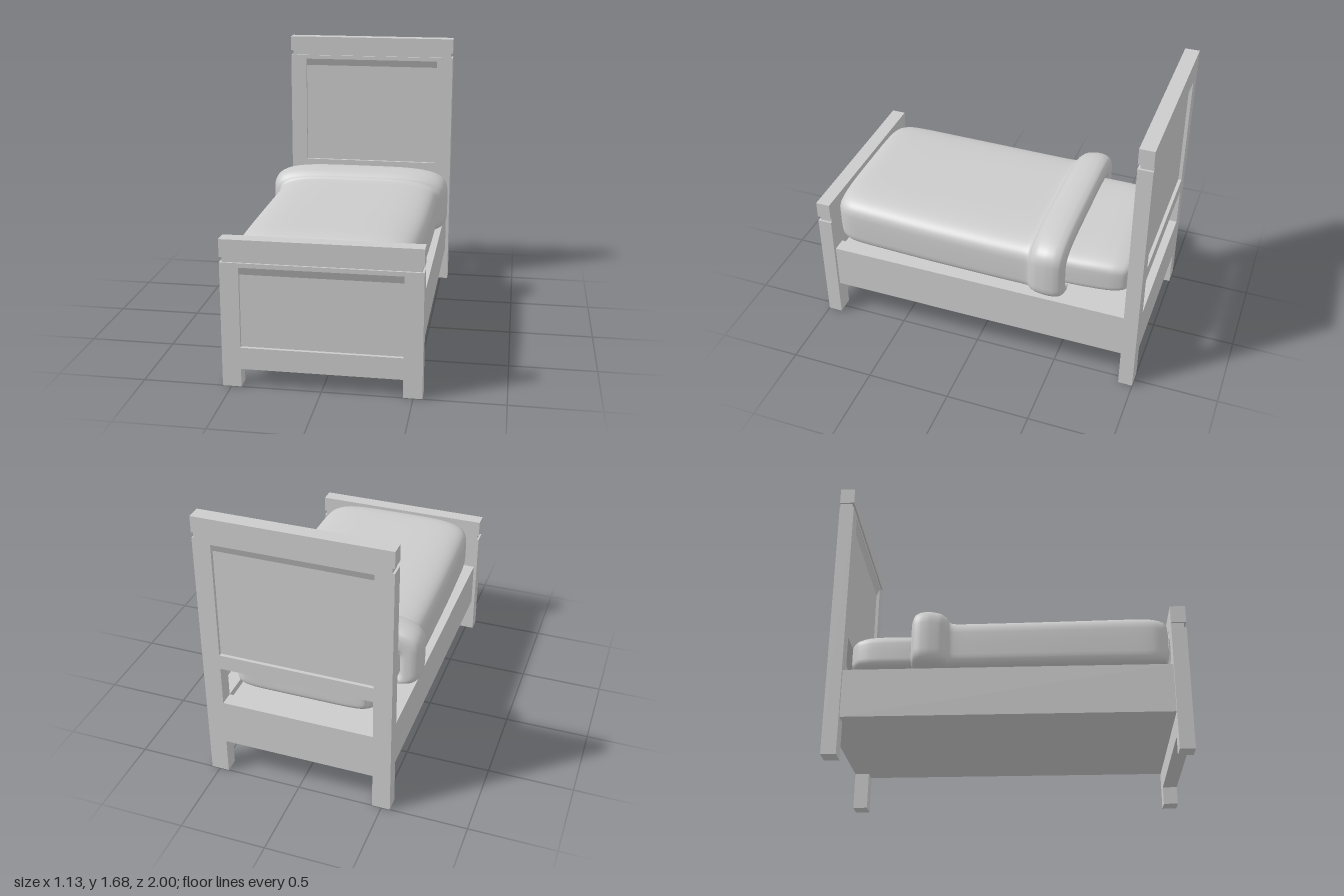
import * as THREE from 'three';

const material = new THREE.MeshStandardMaterial({ color: 0xcccccc });

function add(parent, name, geometry, x = 0, y = 0, z = 0) {
  const mesh = new THREE.Mesh(geometry, material);
  mesh.name = name;
  mesh.position.set(x, y, z);
  parent.add(mesh);
  return mesh;
}

const box = (w, h, d) => new THREE.BoxGeometry(w, h, d);

function rectPath(x0, y0, x1, y1) {
  return new THREE.Path([
    new THREE.Vector2(x0, y0), new THREE.Vector2(x0, y1),
    new THREE.Vector2(x1, y1), new THREE.Vector2(x1, y0),
  ]);
}

const HALF = 0.55, INNER = 0.445, DEPTH = 0.085;

// Upright board: legged frame, recessed panel, grooved neck and cap
function board(name, o) {
  const group = new THREE.Group();
  group.name = name;
  const outline = [
    [-HALF, 0], [-INNER, 0], [-INNER, o.railBottom], [INNER, o.railBottom],
    [INNER, 0], [HALF, 0], [HALF, o.frameTop], [-HALF, o.frameTop],
  ];
  const shape = new THREE.Shape(outline.map(([x, y]) => new THREE.Vector2(x, y)));
  const [p0, p1] = o.panel;
  shape.holes.push(rectPath(-INNER, p0, INNER, p1));
  if (o.gap) shape.holes.push(rectPath(-INNER, o.gap[0], INNER, o.gap[1]));
  const frame = new THREE.ExtrudeGeometry(shape, { depth: DEPTH, bevelEnabled: false });
  add(group, 'frame', frame.translate(0, 0, -DEPTH / 2));

  // Panel flares towards its top on both faces
  const thin = 0.0225, thick = 0.0405;
  const profile = new THREE.Shape([
    [-thin, p0], [thin, p0], [thin, p1 - 0.045], [thick, p1],
    [-thick, p1], [-thin, p1 - 0.045],
  ].map(([x, y]) => new THREE.Vector2(x, y)));
  const panel = new THREE.ExtrudeGeometry(profile, { depth: 2 * INNER, bevelEnabled: false });
  add(group, 'panel', panel.translate(0, 0, -INNER).rotateY(Math.PI / 2));

  // Groove on the front and sides, back flush
  const neckHeight = o.capBottom - o.frameTop;
  add(group, 'neck', box(2 * HALF - 0.024, neckHeight, DEPTH - 0.012),
    0, o.frameTop + neckHeight / 2, -0.006);
  const capHeight = o.top - o.capBottom;
  add(group, 'cap', box(2 * HALF, capHeight, DEPTH), 0, o.capBottom + capHeight / 2, 0);
  group.position.z = o.z;
  return group;
}

// Soft body lofted along z from rows of [z, half width, bottom, top];
// underside: optional [half width, height] of a hollow below
function softLoft(rows, steps, underside) {
  const widths = new THREE.CatmullRomCurve3(
    rows.map(r => new THREE.Vector3(r[0], r[1], 0)), false, 'catmullrom', 0.4);
  const heights = new THREE.CatmullRomCurve3(
    rows.map(r => new THREE.Vector3(r[0], r[2], r[3])), false, 'catmullrom', 0.4);
  const sides = 72, positions = [], index = [];
  for (let i = 0; i <= steps; i++) {
    const a = widths.getPoint(i / steps), b = heights.getPoint(i / steps);
    const mid = (b.y + b.z) / 2, halfHeight = (b.z - b.y) / 2;
    for (let j = 0; j < sides; j++) {
      const t = (j / sides) * Math.PI * 2;
      const c = Math.cos(t), s = Math.sin(t);
      const power = 2 / (s >= 0 ? 4.2 : 7);
      const x = a.y * Math.sign(c) * Math.abs(c) ** power;
      let y = mid + halfHeight * Math.sign(s) * Math.abs(s) ** power;
      if (underside && Math.abs(x) < underside[0]) y = Math.max(y, underside[1]);
      positions.push(x, y, a.x);
      if (i < steps) {
        const k = i * sides + j, n = i * sides + (j + 1) % sides;
        index.push(k, k + sides, n, n, k + sides, n + sides);
      }
    }
  }
  const geometry = new THREE.BufferGeometry();
  geometry.setAttribute('position', new THREE.Float32BufferAttribute(positions, 3));
  geometry.setIndex(index);
  geometry.computeVertexNormals();
  return geometry;
}

export function createModel() {
  const bed = new THREE.Group();
  bed.name = 'bed';

  bed.add(board('headboard', {
    z: -0.9575, railBottom: 0.22, gap: [0.5, 0.74], panel: [0.83, 1.53],
    frameTop: 1.555, capBottom: 1.585, top: 1.68,
  }));
  bed.add(board('footboard', {
    z: 0.9575, railBottom: 0.105, panel: [0.23, 0.69],
    frameTop: 0.715, capBottom: 0.745, top: 0.845,
  }));

  // Side rails and the base between them
  for (const side of [1, -1]) {
    add(bed, side > 0 ? 'leftRail' : 'rightRail', box(0.085, 0.28, 1.83), side * 0.4875, 0.36, 0);
  }
  add(bed, 'base', box(0.89, 0.24, 1.83), 0, 0.34, 0);

  // Mattress, showing at the head end
  add(bed, 'mattress', softLoft([
    [0.8, 0, 0.66, 0.66], [0.8, 0.38, 0.59, 0.74], [0.76, 0.43, 0.55, 0.77],
    [0.2, 0.445, 0.55, 0.78], [-0.5, 0.445, 0.55, 0.78], [-0.7, 0.438, 0.553, 0.785],
    [-0.8, 0.428, 0.558, 0.783], [-0.86, 0.408, 0.565, 0.773], [-0.89, 0.375, 0.575, 0.76],
    [-0.905, 0.32, 0.6, 0.735], [-0.905, 0, 0.67, 0.67],
  ], 80));

  // Duvet with its thick folded-over edge draped across the mattress
  add(bed, 'duvet', softLoft([
    [0.91, 0, 0.7, 0.7], [0.912, 0.4, 0.62, 0.8], [0.905, 0.435, 0.57, 0.825],
    [0.88, 0.465, 0.535, 0.843], [0.82, 0.488, 0.522, 0.854], [0.7, 0.497, 0.518, 0.855],
    [0.3, 0.507, 0.515, 0.845], [-0.1, 0.51, 0.512, 0.84], [-0.28, 0.51, 0.512, 0.84],
    [-0.325, 0.515, 0.512, 0.846], [-0.345, 0.535, 0.511, 0.87], [-0.38, 0.556, 0.51, 0.893],
    [-0.44, 0.566, 0.51, 0.904], [-0.49, 0.563, 0.51, 0.902], [-0.525, 0.548, 0.515, 0.887],
    [-0.541, 0.515, 0.525, 0.855], [-0.538, 0.47, 0.535, 0.8], [-0.5, 0.435, 0.57, 0.765],
  ], 136, [0.435, 0.56]));

  return bed;
}
